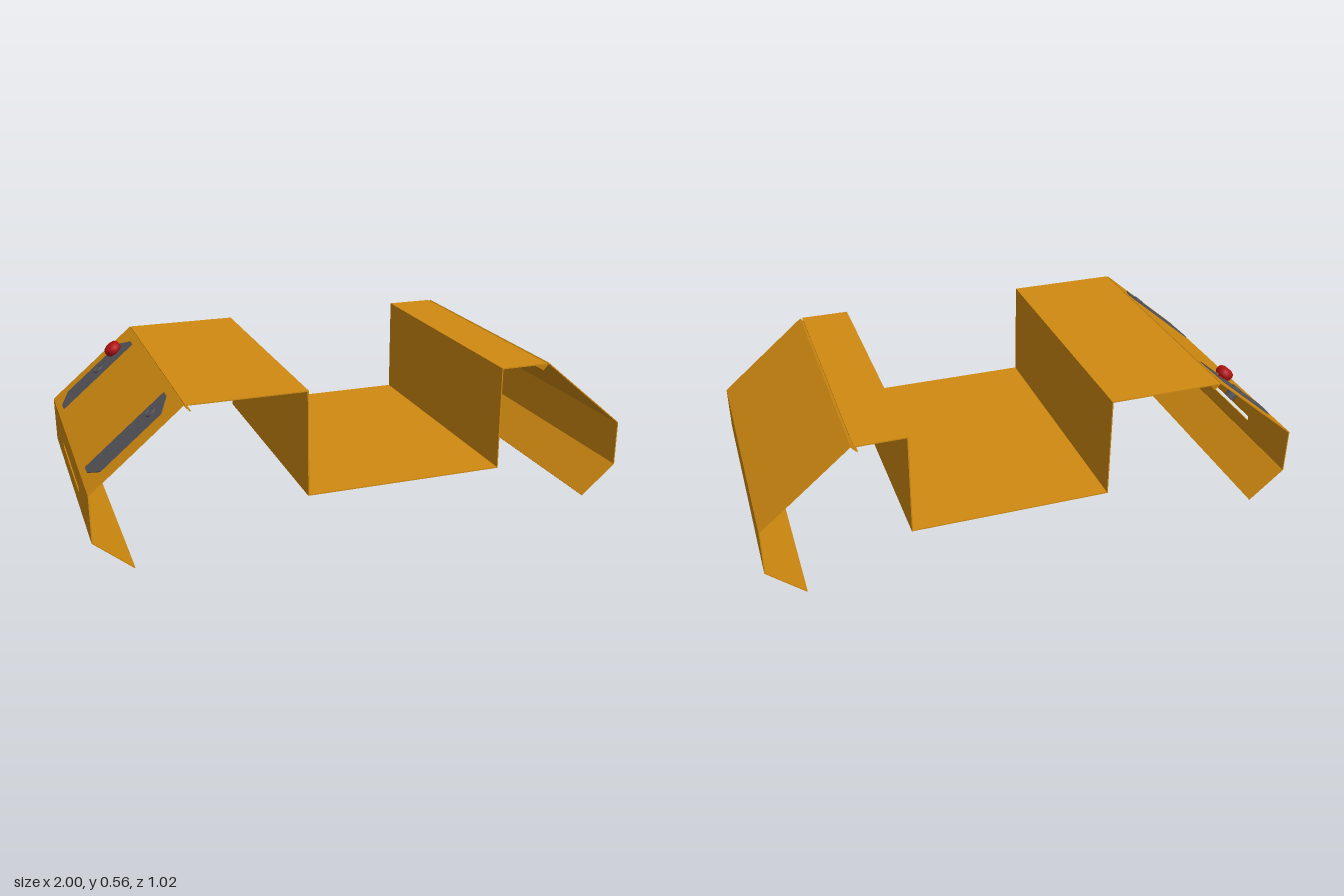
import * as THREE from 'three';

const mat = (name, color) => {
  const m = new THREE.MeshStandardMaterial({ color });
  m.name = name;
  return m;
};

export function createModel() {
  const orange = mat('orange paint', 0xd08a10);
  const grey = mat('dark grey', 0x53535a);
  const red = mat('red', 0xb01012);
  const root = new THREE.Group();
  root.name = 'sheetMetalCover';

  const add = (parent, name, geometry, material) => {
    const mesh = new THREE.Mesh(geometry, material);
    mesh.name = name;
    parent.add(mesh);
    return mesh;
  };

  // Folded sheet: thickens a polyline with mitred corners and extrudes it along z
  const T = 0.004;
  function sheet(points, z0, z1) {
    const p = points.map(([x, y]) => new THREE.Vector2(x, y));
    const normal = (a, b) => new THREE.Vector2(a.y - b.y, b.x - a.x).normalize();
    const sides = [[], []];
    p.forEach((q, i) => {
      const n0 = i > 0 ? normal(p[i - 1], q) : normal(q, p[i + 1]);
      const n1 = i < p.length - 1 ? normal(q, p[i + 1]) : n0;
      const m = n0.clone().add(n1).normalize();
      m.multiplyScalar(T / 2 / m.dot(n1));
      sides[0].push(q.clone().add(m));
      sides[1].unshift(q.clone().sub(m));
    });
    const shape = new THREE.Shape([...sides[0], ...sides[1]]);
    const g = new THREE.ExtrudeGeometry(shape, { depth: z1 - z0, bevelEnabled: false });
    return g.translate(0, 0, z0);
  }

  // Central channel
  add(root, 'centreChannel', sheet([
    [-0.67, 0.556], [-0.251, 0.556], [-0.251, 0.175],
    [0.484, 0.175], [0.484, 0.556], [0.664, 0.556],
  ], -0.51, 0.51), orange);

  // Plain side panel with a return lip at the top and a flange at the bottom
  const upper = [[0.652, 0.532], [0.674, 0.556], [0.998, 0.285]];
  const lower = [[0.998, 0.115], [0.865, 0.002]];
  add(root, 'leftPanel', sheet([...upper, ...lower], -0.505, 0.505), orange);

  // Opposite side panel, with a long slot through its upright face
  const mirror = (pts) => pts.map(([x, y]) => [-x, y]);
  const rightPanel = new THREE.Group();
  rightPanel.name = 'rightPanel';
  root.add(rightPanel);
  const full = mirror([...upper, ...lower]);
  add(rightPanel, 'panelBack', sheet(full, -0.505, -0.225), orange);
  add(rightPanel, 'panelFront', sheet(full, 0.225, 0.505), orange);
  add(rightPanel, 'panelAboveSlot', sheet(mirror([...upper, [0.998, 0.198]]), -0.225, 0.225), orange);
  add(rightPanel, 'panelBelowSlot', sheet(mirror([[0.998, 0.178], ...lower]), -0.225, 0.225), orange);

  // Controls live in the frame of the sloping face: x up the slope, y outward
  const controls = new THREE.Group();
  controls.name = 'controls';
  controls.position.set(-0.998, 0.285, 0);
  controls.rotation.z = Math.atan2(0.271, 0.324);
  root.add(controls);

  // Grey mounting plates, tapered toward the outer ends
  for (const s of [-1, 1]) {
    const outline = [[0.026, 0.31], [0.393, 0.31], [0.393, 0.35], [0.347, 0.433], [0.07, 0.433], [0.026, 0.358]]
      .map(([x, z]) => new THREE.Vector2(x, s * z));
    const g = new THREE.ExtrudeGeometry(new THREE.Shape(outline), { depth: 0.003, bevelEnabled: false });
    g.rotateX(Math.PI / 2).translate(0, 0.0055, 0);
    add(controls, s < 0 ? 'backPlate' : 'frontPlate', g, grey);
  }

  // Cylinder standing on the slope between two heights
  const post = (name, x, z, r, y0, y1, material) => add(controls, name,
    new THREE.CylinderGeometry(r, r, y1 - y0, 24).translate(x, (y0 + y1) / 2, z), material);

  // Red mushroom button
  post('redButtonStem', 0.322, -0.37, 0.012, -0.008, 0.016, red);
  const cap = [[0, 0.012], [0.028, 0.012], [0.033, 0.018], [0.033, 0.034], [0.028, 0.043], [0.016, 0.048], [0, 0.049]];
  add(controls, 'redButtonCap', new THREE.LatheGeometry(
    cap.map(([x, y]) => new THREE.Vector2(x, y)), 24).translate(0.322, 0, -0.37), red);

  // Grey switches reaching through the panel, each with a raised rim
  const switches = [['backSwitch', 0.225, -0.37, -0.036], ['frontSwitch', 0.318, 0.365, -0.05]];
  for (const [name, x, z, depth] of switches) {
    post(name, x, z, 0.021, depth, 0.009, grey);
    add(controls, name + 'Rim', new THREE.TorusGeometry(0.018, 0.003, 8, 24)
      .rotateX(Math.PI / 2).translate(x, 0.009, z), grey);
  }

  // Row of small pins under the front plate
  for (let i = 0; i < 5; i++) post('pin', 0.095 + i * 0.033, 0.34, 0.005, -0.006, 0.008, grey);
  post('pin', 0.26, 0.385, 0.005, -0.006, 0.008, grey);

  return root;
}
